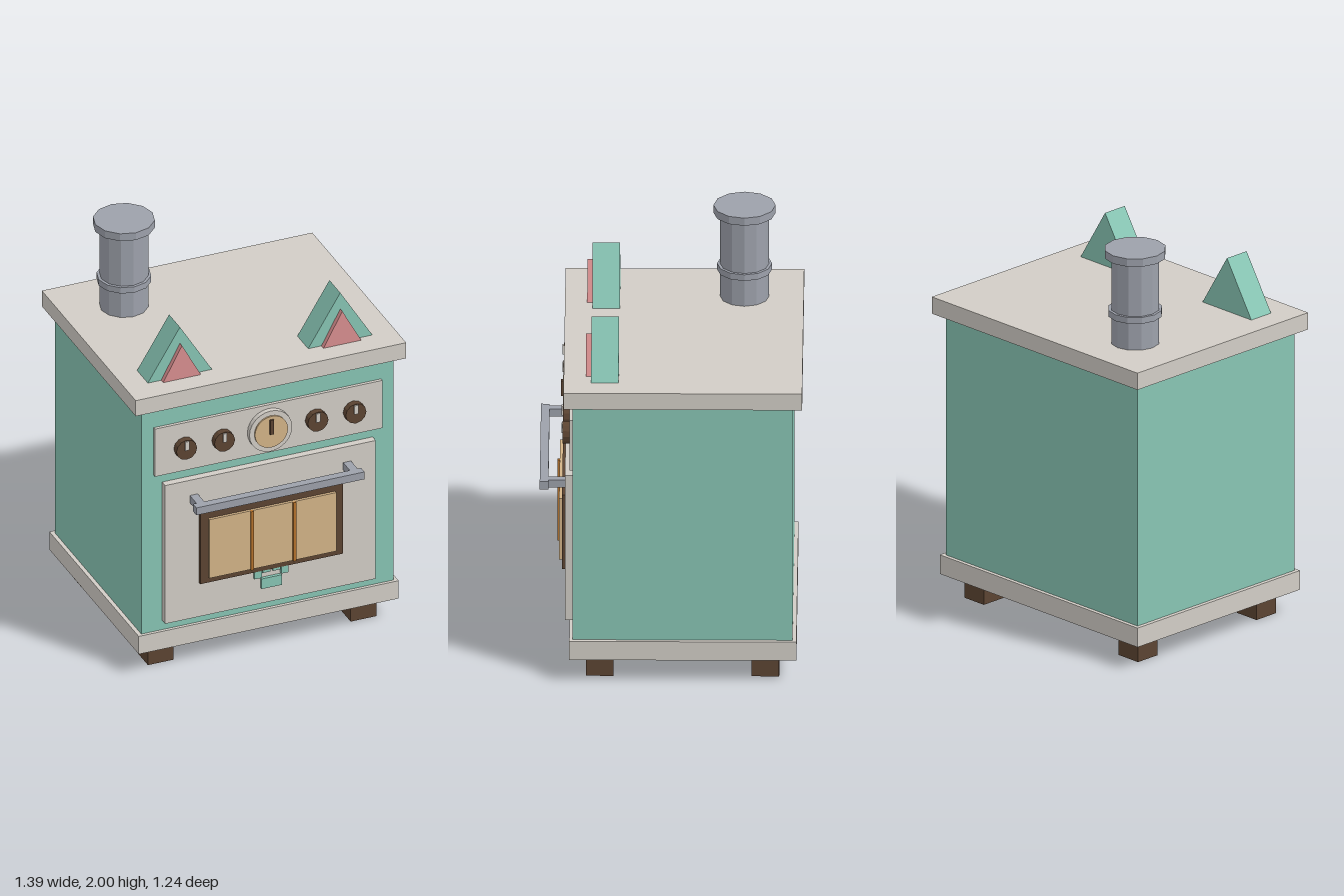
import * as THREE from 'three';
import { toCreasedNormals } from 'three/addons/utils/BufferGeometryUtils.js';

const paint = (name, color) => {
  const m = new THREE.MeshStandardMaterial({ color });
  m.name = name;
  return m;
};

export function createModel() {
  const green = paint('mint enamel', 0x88c5b4);
  const cream = paint('cream enamel', 0xd2cdc6);
  const brown = paint('dark brown', 0x5c4432);
  const tan = paint('warm glass', 0xd4b488);
  const amber = paint('amber bar', 0xb5722c);
  const pink = paint('pink', 0xd98f90);
  const steel = paint('steel', 0x9da1ab);

  const root = new THREE.Group();
  root.name = 'stove';

  const add = (name, geometry, material, x, y, z) => {
    const mesh = new THREE.Mesh(geometry, material);
    mesh.name = name;
    mesh.position.set(x, y, z);
    root.add(mesh);
    return mesh;
  };
  // Box given by its limits on each axis
  const box = (name, mat, x0, x1, y0, y1, z0, z1) =>
    add(name, new THREE.BoxGeometry(x1 - x0, y1 - y0, z1 - z0), mat,
      (x0 + x1) / 2, (y0 + y1) / 2, (z0 + z1) / 2);
  // Faceted upright cylinder
  const drum = (name, mat, r, y0, y1, x, z) =>
    add(name, toCreasedNormals(new THREE.CylinderGeometry(r, r, y1 - y0, 12), 0.1),
      mat, x, (y0 + y1) / 2, z);
  // Faceted disc facing the front
  const disc = (name, mat, r, x, y, z0, z1, sides) =>
    add(name, toCreasedNormals(
      new THREE.CylinderGeometry(r, r, z1 - z0, sides).rotateX(Math.PI / 2), 0.1),
      mat, x, y, (z0 + z1) / 2);
  // Triangular prism standing on the top plate
  const prism = (name, mat, half, height, x, z0, z1) => {
    const s = new THREE.Shape([
      new THREE.Vector2(-half, 0), new THREE.Vector2(half, 0), new THREE.Vector2(0, height)]);
    return add(name, new THREE.ExtrudeGeometry(s, { depth: z1 - z0, bevelEnabled: false }),
      mat, x, 1.525, z0);
  };

  // Cabinet
  box('body', green, -0.648, 0.648, 0.217, 1.44, -0.576, 0.463);
  box('basePlate', cream, -0.668, 0.668, 0.12, 0.217, -0.595, 0.479);
  box('topPlate', cream, -0.695, 0.695, 1.44, 1.525, -0.622, 0.506);

  for (const s of [-1, 1]) {
    // Feet
    for (const z of [0.335, -0.448])
      box('foot', brown, s * 0.521 - 0.066, s * 0.521 + 0.066, 0, 0.12, z - 0.065, z + 0.065);
    // Ears
    prism('ear', green, 0.165, 0.268, s * 0.412, 0.246, 0.376);
    prism('innerEar', pink, 0.097, 0.18, s * 0.412, 0.376, 0.401);
    // Knobs with pointer marks
    for (const x of [0.24, 0.435]) {
      disc('knob', brown, 0.053, s * x, 1.2, 0.479, 0.512, 12);
      box('knobMark', cream, s * x - 0.01, s * x + 0.01, 1.2, 1.247, 0.512, 0.518);
    }
    // Handle posts and window bars
    box('handlePost', steel, s * 0.394 - 0.02, s * 0.394 + 0.02, 0.9, 0.94, 0.5, 0.58);
    box('windowBar', amber, s * 0.109 - 0.007, s * 0.109 + 0.007, 0.483, 0.803, 0.515, 0.539);
    // Paw toes under the window
    box('outerToe', green, s * 0.069 - 0.019, s * 0.069 + 0.019, 0.415, 0.455, 0.5, 0.514);
    box('innerToe', green, s * 0.026 - 0.019, s * 0.026 + 0.019, 0.44, 0.48, 0.5, 0.514);
  }
  box('pawPad', green, -0.052, 0.052, 0.355, 0.41, 0.5, 0.516);

  // Control panel and dial
  box('controlPanel', cream, -0.584, 0.584, 1.07, 1.33, 0.463, 0.479);
  disc('dialRim', cream, 0.11, 0, 1.2, 0.479, 0.505, 24);
  disc('dialFace', tan, 0.085, 0, 1.2, 0.505, 0.513, 24);
  box('dialNeedle', brown, -0.01, 0.01, 1.19, 1.268, 0.513, 0.522);

  // Oven door
  box('door', cream, -0.541, 0.541, 0.268, 1.023, 0.463, 0.5);
  box('windowFrame', brown, -0.367, 0.367, 0.453, 0.84, 0.5, 0.515);
  box('windowPane', tan, -0.326, 0.326, 0.483, 0.803, 0.515, 0.529);
  box('handleBar', steel, -0.432, 0.432, 0.9, 0.94, 0.579, 0.62);

  // Chimney
  drum('chimneyPipe', steel, 0.116, 1.525, 1.96, -0.393, -0.342);
  drum('chimneyRing', steel, 0.13, 1.664, 1.696, -0.393, -0.342);
  drum('chimneyCap', steel, 0.147, 1.96, 2.0, -0.393, -0.342);

  return root;
}
